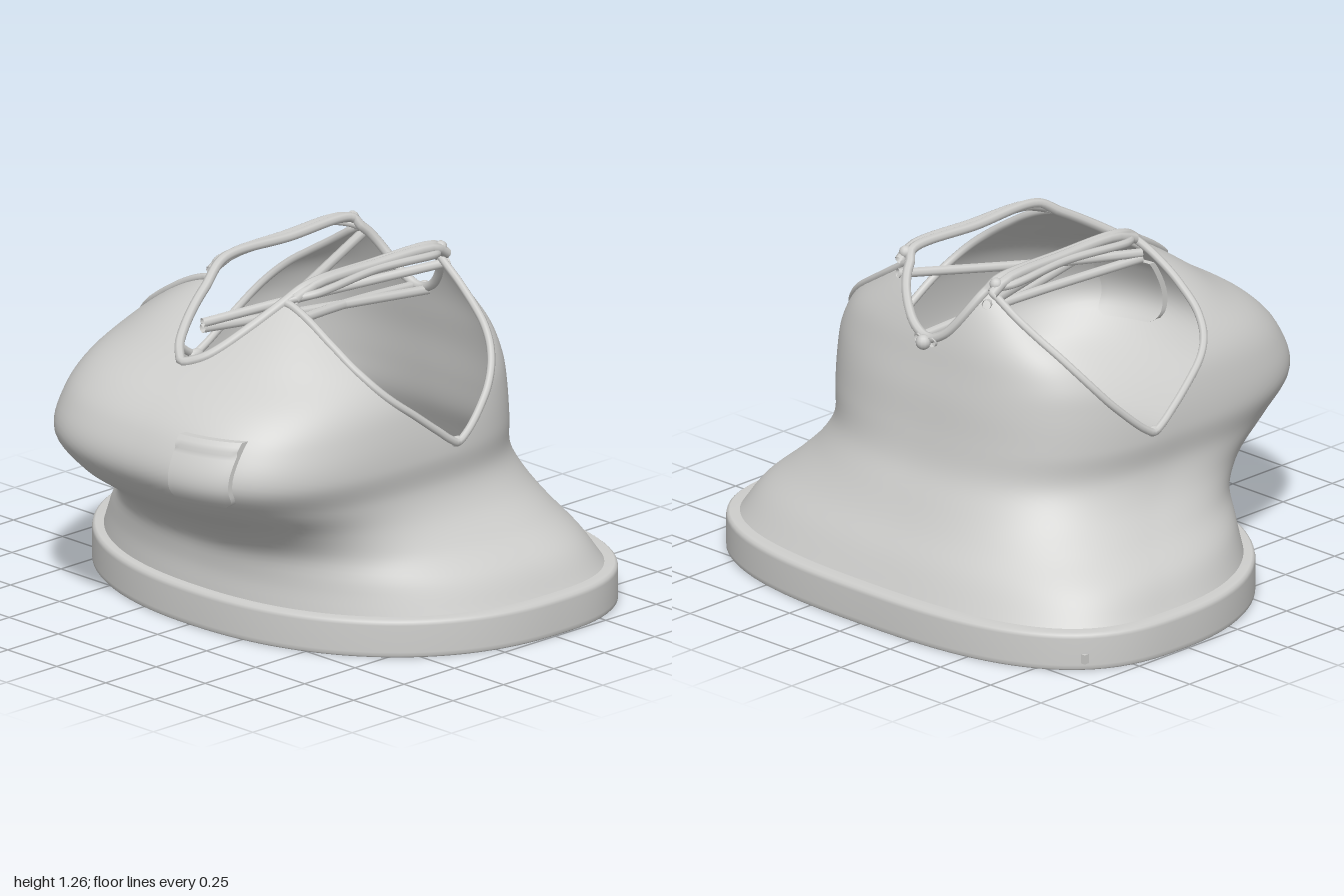
import * as THREE from 'three';

// Garment cross-sections: y, half width, z of widest point, front z, back z, front and back squareness
const SECTIONS = [
  [0.13, 0.95, -0.27, 0.56, -0.845, 2.25, 3],
  [0.24, 0.885, -0.25, 0.555, -0.79, 2.3, 2.8],
  [0.34, 0.78, -0.2, 0.58, -0.73, 2.4, 2.7],
  [0.44, 0.7, -0.1, 0.68, -0.68, 2.55, 2.7],
  [0.54, 0.665, 0, 0.82, -0.635, 2.8, 2.8],
  [0.66, 0.675, 0.05, 0.9, -0.61, 3.15, 3],
  [0.8, 0.66, 0.05, 0.86, -0.59, 3.05, 3.2],
  [0.9, 0.63, 0.03, 0.77, -0.57, 2.9, 3.4],
  [1.0, 0.56, 0, 0.61, -0.55, 2.8, 3.5],
  [1.1, 0.43, -0.05, 0.46, -0.52, 3.4, 3.4],
  [1.2, 0.29, -0.08, 0.3, -0.48, 4, 3.4],
  [1.27, 0.22, -0.1, 0.2, -0.45, 4, 3.4],
];
// Neckline height by |x|, and armhole height by z
const NECK = [[0, 0.99], [0.08, 1.03], [0.15, 1.12], [0.21, 1.24]];
const ARM = [[-0.44, 1.2], [-0.43, 1.12], [-0.395, 1.02], [-0.33, 0.91], [-0.235, 0.8], [-0.09, 0.69],
  [-0.02, 0.73], [0.105, 0.825], [0.225, 0.925], [0.285, 1.02], [0.3, 1.1]];

// Smooth interpolation of table rows by their first entry
function sample(table, t) {
  const last = table.length - 1;
  let i = 0;
  while (i < last - 1 && t > table[i + 1][0]) i++;
  const a = table[i], b = table[i + 1], h = b[0] - a[0];
  const s = THREE.MathUtils.clamp((t - a[0]) / h, 0, 1);
  const slope = (k, j) => {
    const p = table[Math.max(k - 1, 0)], q = table[Math.min(k + 1, last)];
    return (q[j] - p[j]) / (q[0] - p[0]);
  };
  return a.map((v, j) => j === 0 ? t
    : v * (2 * s ** 3 - 3 * s * s + 1) + b[j] * (3 * s * s - 2 * s ** 3)
      + h * (slope(i, j) * (s ** 3 - 2 * s * s + s) + slope(i + 1, j) * (s ** 3 - s * s)));
}

function ringPoint([y, w, zc, front, back, nf, nb], angle) {
  const c = Math.cos(angle), s = Math.sin(angle);
  const n = s > 0 ? nf : nb, d = s > 0 ? front - zc : zc - back;
  const r = (Math.abs(c / w) ** n + Math.abs(s / d) ** n) ** (-1 / n);
  return new THREE.Vector3(c * r, y, zc + s * r);
}

const surface = (y, angle) => ringPoint(sample(SECTIONS, y), angle);

// Which opening, if any, a point of the surface falls into
function opening(p) {
  const x = Math.abs(p.x);
  if (x < 0.21 && p.y > sample(NECK, x)[1]) return 'neck';
  if (p.z > -0.44 && p.z < 0.3 && p.y > sample(ARM, p.z)[1]) return 'arm';
  return p.y > 1.25 ? 'tip' : null;
}

// Climb one column of the garment until it meets an opening
function columnTop(angle) {
  let y = 0.6;
  while (!opening(surface(y, angle))) y += 0.01;
  let lo = y - 0.01, hi = y;
  for (let i = 0; i < 8; i++) {
    const mid = (lo + hi) / 2;
    if (opening(surface(mid, angle))) hi = mid; else lo = mid;
  }
  return { y: lo, kind: opening(surface(hi, angle)), p: surface(lo, angle) };
}

// Skin a closed-around grid of points; rows run upward on the outside
function loft(rows, cols, point) {
  const pos = [], index = [];
  for (let j = 0; j <= rows; j++) {
    for (let i = 0; i < cols; i++) pos.push(...point(i, j).toArray());
  }
  for (let j = 0; j < rows; j++) {
    for (let i = 0; i < cols; i++) {
      const a = j * cols + i, b = j * cols + (i + 1) % cols;
      index.push(a, a + cols, b, b, a + cols, b + cols);
    }
  }
  const g = new THREE.BufferGeometry();
  g.setAttribute('position', new THREE.Float32BufferAttribute(pos, 3));
  g.setIndex(index);
  g.computeVertexNormals();
  return g;
}

export function createModel() {
  const group = new THREE.Group();
  const cloth = new THREE.MeshStandardMaterial({ color: 0xcececc, side: THREE.DoubleSide });
  cloth.name = 'light grey cloth';
  const add = (name, geometry, x = 0, y = 0, z = 0) => {
    const mesh = new THREE.Mesh(geometry, cloth);
    mesh.name = name;
    mesh.position.set(x, y, z);
    group.add(mesh);
    return mesh;
  };
  const tube = (name, points, radius, closed) => add(name, new THREE.TubeGeometry(
    new THREE.CatmullRomCurve3(points, closed), closed ? 160 : 16, radius, 8, closed));
  const V = (x, y, z) => new THREE.Vector3(x, y, z);

  // Body with neck and arm openings
  const COLS = 288, ROWS = 44;
  const angleOf = (i) => -Math.PI + (i + 0.5) * 2 * Math.PI / COLS;
  const tops = Array.from({ length: COLS }, (_, i) => columnTop(angleOf(i)));
  add('body', loft(ROWS, COLS, (i, j) =>
    surface(THREE.MathUtils.lerp(0.13, tops[i].y, j / ROWS), angleOf(i))));

  // Hem band: inset and height around its thin, rounded profile
  const hemProfile = [[0.05, 0.13], [0.03, 0.07], [0.02, 0.01], [0.014, 0], [0.006, 0], [0.001, 0.006],
    [0, 0.02], [0, 0.12], [0.003, 0.133], [0.012, 0.14], [0.06, 0.14]];
  add('hemBand', loft(hemProfile.length - 1, 128, (i, j) => {
    const [d, y] = hemProfile[j];
    return ringPoint([y, 1 - d, -0.27, 0.6 - d, -0.905 + d, 2.2, 2.75], i * Math.PI / 64);
  }));

  // Piping around the neck, running over both shoulders
  const edge = (test) => tops.filter(test).map((t) => t.p).filter((_, i) => i % 3 === 0);
  const shoulder = (s) => [V(s * 0.21, 1.235, 0.22), V(s * 0.205, 1.24, -0.1), V(s * 0.21, 1.235, -0.42)];
  tube('neckPiping', [
    ...edge((t) => t.kind === 'neck' && t.p.z > 0), ...shoulder(-1),
    ...edge((t) => t.kind === 'neck' && t.p.z < 0), ...shoulder(1).reverse(),
  ], 0.018, true);

  for (const s of [1, -1]) {
    const side = s > 0 ? 'left' : 'right';
    // Piping around the armhole
    const arm = edge((t) => t.kind === 'arm' && t.p.x > 0);
    const loop = [...arm, V(0.255, 1.215, 0.2), V(0.245, 1.23, -0.1), V(0.255, 1.22, -0.38)];
    tube(side + 'ArmholePiping', loop.map((p) => V(s * p.x, p.y, p.z)), 0.015, true);
    // Shoulder cord
    tube(side + 'ShoulderCord', [V(s * 0.215, 1.2, 0.28), V(s * 0.22, 1.235, 0.18),
      V(s * 0.225, 1.24, -0.1), V(s * 0.235, 1.235, -0.4), V(s * 0.23, 1.2, -0.46)], 0.02, false);
    // Knots
    add(side + 'ArmholeKnot', new THREE.SphereGeometry(0.024, 12, 8), s * 0.665, 0.69, -0.085)
      .scale.set(0.8, 0.8, 1.4);
    add(side + 'ShoulderKnot', new THREE.SphereGeometry(0.024, 12, 8), s * 0.225, 1.228, -0.435);
    // Straps crossing inside
    tube(side + 'UpperCrossStrap', [V(s * 0.1, 1.07, 0.43), V(0, 1.1, 0.1), V(-s * 0.22, 1.16, -0.48)], 0.018, false);
    tube(side + 'LowerCrossStrap', [V(s * 0.1, 1.05, 0.43), V(0, 1.02, -0.17), V(-s * 0.035, 0.99, -0.57)], 0.018, false);
  }
  add('backKnot', new THREE.SphereGeometry(0.028, 12, 8), 0, 0.985, -0.575);

  // Patch pocket bent over the chest, with rounded lower corners and a raised lip
  const pocket = new THREE.BoxGeometry(0.23, 0.24, 0.05, 12, 16, 2);
  const pp = pocket.attributes.position;
  for (let i = 0; i < pp.count; i++) {
    const v = (pp.getY(i) + 0.12) / 0.24;
    const corner = v < 0.2 ? 0.035 * (1 - Math.sqrt(1 - (1 - v / 0.2) ** 2)) : 0;
    const x = 0.335 + pp.getX(i) * (1 - corner / 0.115), y = 0.715 + pp.getY(i);
    const [, w, zc, front, , n] = sample(SECTIONS, y);
    const base = zc + (front - zc) * (1 - (x / w) ** n) ** (1 / n);
    const lift = pp.getZ(i) > 0.01 ? 0.02 + (v > 0.85 ? 0.01 : 0) : pp.getZ(i);
    pp.setXYZ(i, x, y, base + lift);
  }
  pocket.computeVertexNormals();
  add('pocket', pocket);

  // Small tab on the hem
  add('hemTab', new THREE.BoxGeometry(0.02, 0.035, 0.03), -0.89, 0.045, -0.66);
  return group;
}
